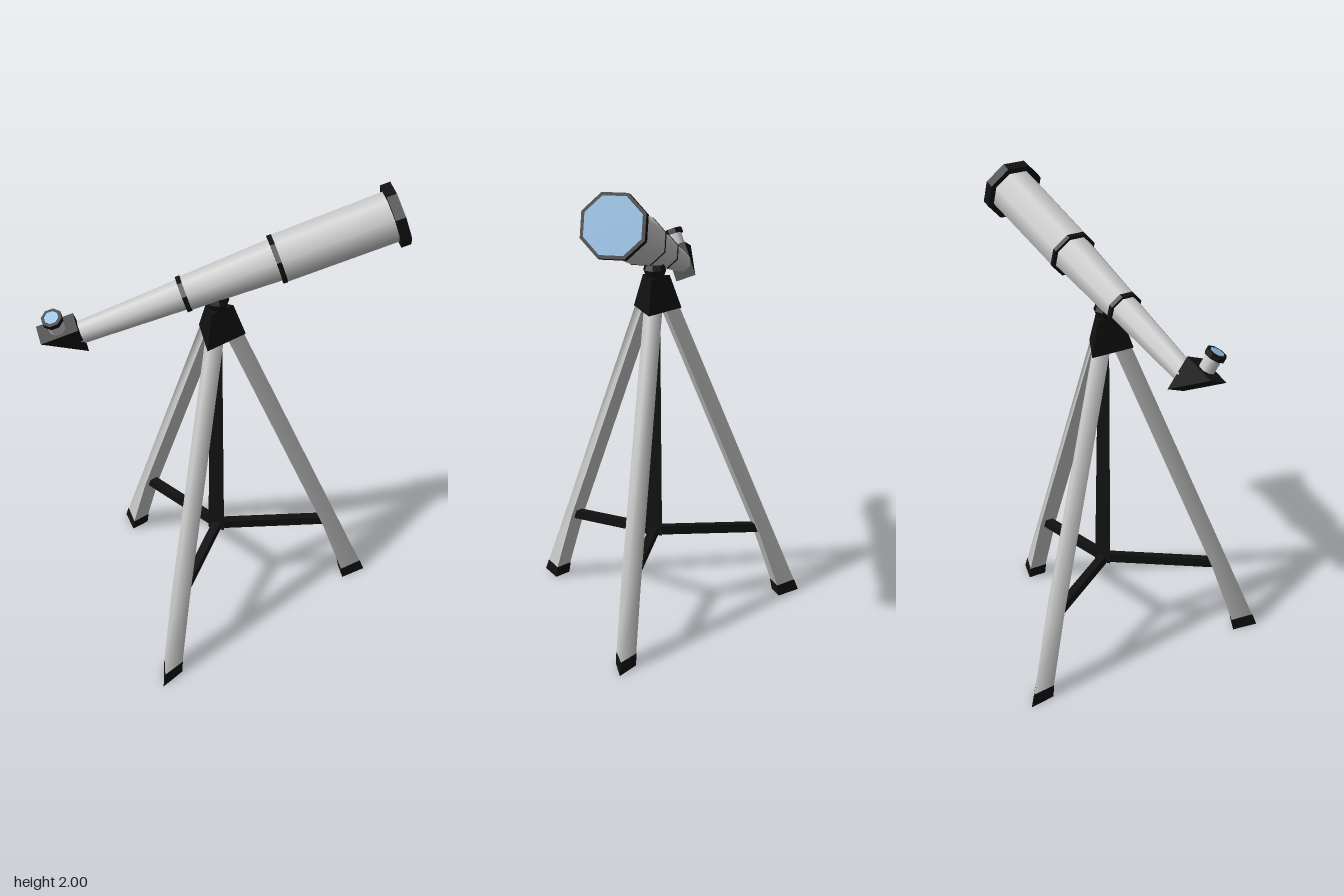
import * as THREE from 'three';

const grey = new THREE.MeshStandardMaterial({ color: 0xcccccc });
const black = new THREE.MeshStandardMaterial({ color: 0x111111, flatShading: true });
const glass = new THREE.MeshStandardMaterial({ color: 0x8fbbe0, flatShading: true });
const APOTHEM = Math.cos(Math.PI / 8);

function add(parent, name, geometry, material) {
  const mesh = new THREE.Mesh(geometry, material);
  mesh.name = name;
  parent.add(mesh);
  return mesh;
}

// Eight-sided barrel standing on y0..y1; radii are measured to the flats
function barrel(y0, y1, r0, r1, open = false) {
  const g = new THREE.CylinderGeometry(r1 / APOTHEM, r0 / APOTHEM, y1 - y0, 8, 1, open);
  return g.rotateY(Math.PI / 8).translate(0, (y0 + y1) / 2, 0);
}

// Same barrel laid along +x
const tube = (...args) => barrel(...args).rotateZ(-Math.PI / 2);

// Triangular leg from sections [y, inner radius, outer radius, half width], bottom to top
function triangularLoft(sections) {
  const pos = [], index = [];
  const strip = (pick) => {
    const base = pos.length / 3;
    const n = pick(sections[0]).length;
    sections.forEach((s) => pick(s).forEach((p) => pos.push(...p)));
    for (let i = 0; i < sections.length - 1; i++) {
      for (let j = 0; j < n - 1; j++) {
        const a = base + i * n + j, b = a + 1, c = b + n, d = a + n;
        index.push(a, b, c, a, c, d);
      }
    }
  };
  const A = ([y, ri, , w]) => [ri, y, w];
  const T = ([y, , ro]) => [ro, y, 0];
  const B = ([y, ri, , w]) => [ri, y, -w];
  strip((s) => [A(s), T(s), B(s)]); // rounded outer side
  strip((s) => [B(s), A(s)]); // flat inner side
  const k = pos.length / 3, first = sections[0], last = sections[sections.length - 1];
  pos.push(...A(first), ...B(first), ...T(first), ...A(last), ...T(last), ...B(last));
  index.push(k, k + 1, k + 2, k + 3, k + 4, k + 5);
  const g = new THREE.BufferGeometry();
  g.setAttribute('position', new THREE.Float32BufferAttribute(pos, 3));
  g.setIndex(index);
  g.computeVertexNormals();
  return g;
}

function createTripod() {
  const tripod = new THREE.Group();
  tripod.name = 'tripod';

  // Three legs with feet and spreader bars
  const legGeo = triangularLoft([
    [0.05, 0.572, 0.67, 0.042],
    [0.33, 0.475, 0.552, 0.042],
    [1.42, 0.02, 0.094, 0.04],
  ]);
  const footGeo = triangularLoft([
    [0, 0.58, 0.692, 0.043],
    [0.05, 0.57, 0.672, 0.043],
  ]);
  for (let i = 0; i < 3; i++) {
    const side = new THREE.Group();
    side.name = 'legAssembly';
    side.rotation.y = (i * Math.PI * 2) / 3;
    add(side, 'leg', legGeo, grey);
    add(side, 'foot', footGeo, black);
    const bar = add(side, 'spreaderBar', new THREE.BoxGeometry(0.49, 0.038, 0.036), black);
    bar.position.set(0.242, 0.355, 0);
    bar.rotation.z = -0.095;
    tripod.add(side);
  }

  // Centre post, hub and swivel
  add(tripod, 'centrePost', new THREE.CylinderGeometry(0.03, 0.043, 1.04, 3)
    .rotateY(-Math.PI / 2).translate(0, 0.88, 0), black);
  add(tripod, 'hub', new THREE.CylinderGeometry(0.067, 0.12, 0.145, 3)
    .rotateY(Math.PI / 2).translate(0, 1.4475, 0), black);
  const swivel = [[0, 1.51], [0.034, 1.51], [0.05, 1.55], [0.035, 1.585], [0, 1.59]];
  add(tripod, 'swivel', new THREE.LatheGeometry(
    swivel.map(([r, y]) => new THREE.Vector2(r, y)), 8), black);
  return tripod;
}

function createTelescope() {
  const scope = new THREE.Group();
  scope.name = 'telescope';
  scope.position.set(-0.565, 1.462, 0);
  scope.rotation.z = 0.308;

  // Three drawn tubes with dark collars
  add(scope, 'rearTube', tube(-0.01, 0.45, 0.044, 0.061), grey);
  add(scope, 'middleTube', tube(0.45, 0.855, 0.068, 0.084), grey);
  add(scope, 'frontTube', tube(0.855, 1.35, 0.095, 0.1), grey);
  add(scope, 'rearCollar', tube(0.437, 0.457, 0.072, 0.072), black);
  add(scope, 'frontCollar', tube(0.842, 0.862, 0.097, 0.097), black);
  add(scope, 'lensRim', tube(1.342, 1.385, 0.125, 0.125), black);
  add(scope, 'frontLens', tube(1.375, 1.388, 0.112, 0.112), glass);

  // Diagonal prism with eyepiece, rolled around the tube
  const diagonal = new THREE.Group();
  diagonal.name = 'diagonal';
  diagonal.rotation.x = 0.38;
  const wedge = new THREE.Shape();
  wedge.moveTo(0, -0.08);
  wedge.lineTo(0, 0.08);
  wedge.lineTo(-0.16, 0.08);
  wedge.closePath();
  add(diagonal, 'prismHousing', new THREE.ExtrudeGeometry(wedge, { depth: 0.092, bevelEnabled: false })
    .translate(0, 0, -0.046), black);
  const eyepiece = new THREE.Group();
  eyepiece.name = 'eyepiece';
  eyepiece.position.x = -0.078;
  add(eyepiece, 'eyepieceTube', barrel(0.07, 0.145, 0.032, 0.032), grey);
  add(eyepiece, 'eyepieceRim', barrel(0.14, 0.163, 0.041, 0.041), black);
  add(eyepiece, 'eyepieceLens', barrel(0.155, 0.165, 0.028, 0.028), glass);
  diagonal.add(eyepiece);
  scope.add(diagonal);
  return scope;
}

export function createModel() {
  const model = new THREE.Group();
  model.name = 'telescopeOnTripod';
  const body = new THREE.Group();
  body.name = 'body';
  body.position.set(-0.03, 0, 0.006);
  body.rotation.y = -0.028;
  body.add(createTripod(), createTelescope());
  model.add(body);
  return model;
}
